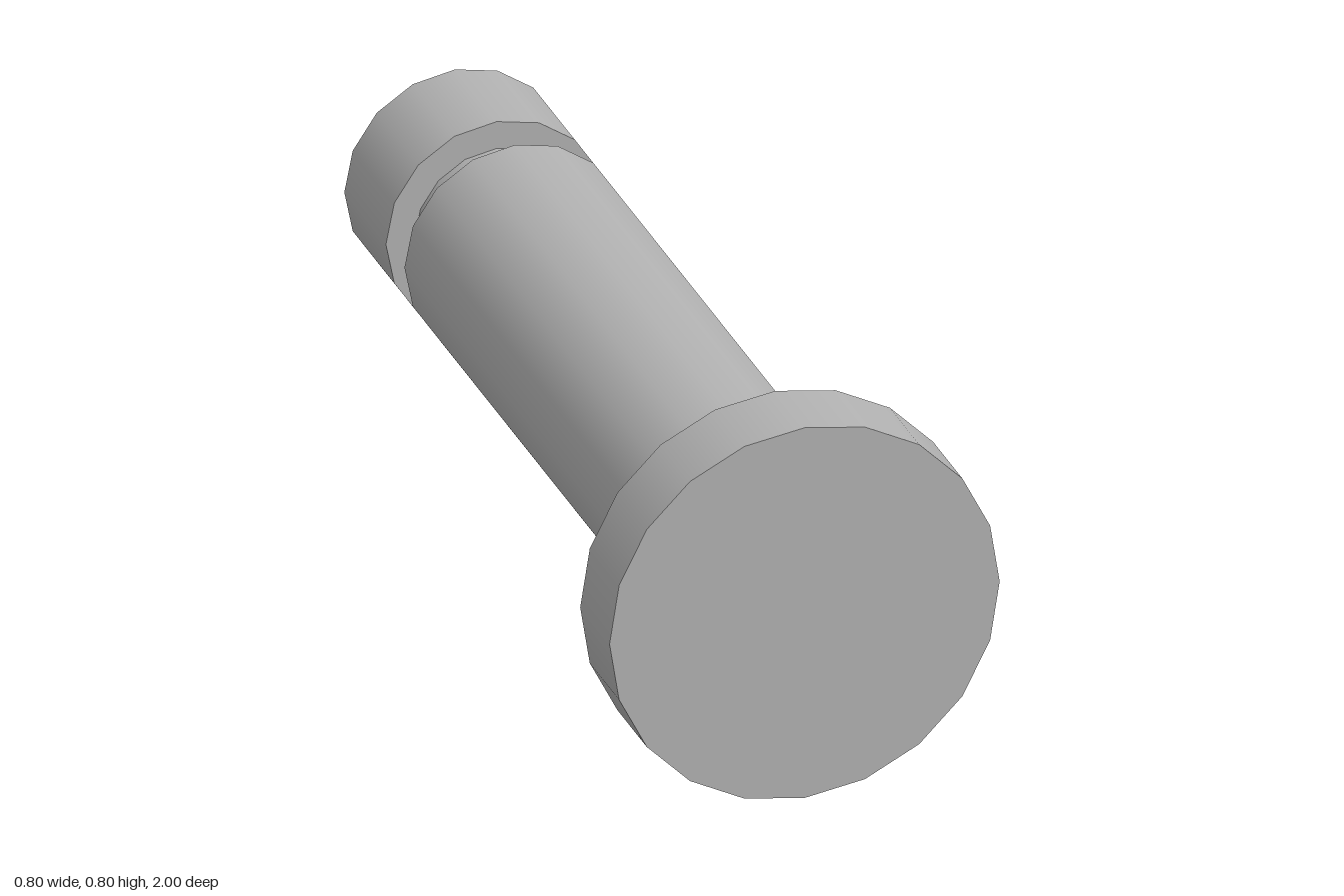
import * as THREE from 'three';

export function createModel() {
  const group = new THREE.Group();
  group.name = 'headedPin';
  const steel = new THREE.MeshStandardMaterial({ color: 0xb2b2b2 });
  steel.name = 'steel grey';

  // Round section along z, from the back end to the front end
  function section(name, radius, back, front, sides) {
    const geometry = new THREE.CylinderGeometry(radius, radius, front - back, sides);
    geometry.rotateX(Math.PI / 2);
    const mesh = new THREE.Mesh(geometry, steel);
    mesh.name = name;
    mesh.position.set(0, 0.4, (front + back) / 2);
    group.add(mesh);
  }

  section('head', 0.4, 0.832, 1, 20);
  section('shaft', 0.227, -0.656, 0.832, 16);
  section('grooveNeck', 0.169, -0.762, -0.656, 16);
  section('endCollar', 0.227, -1, -0.762, 16);

  return group;
}
